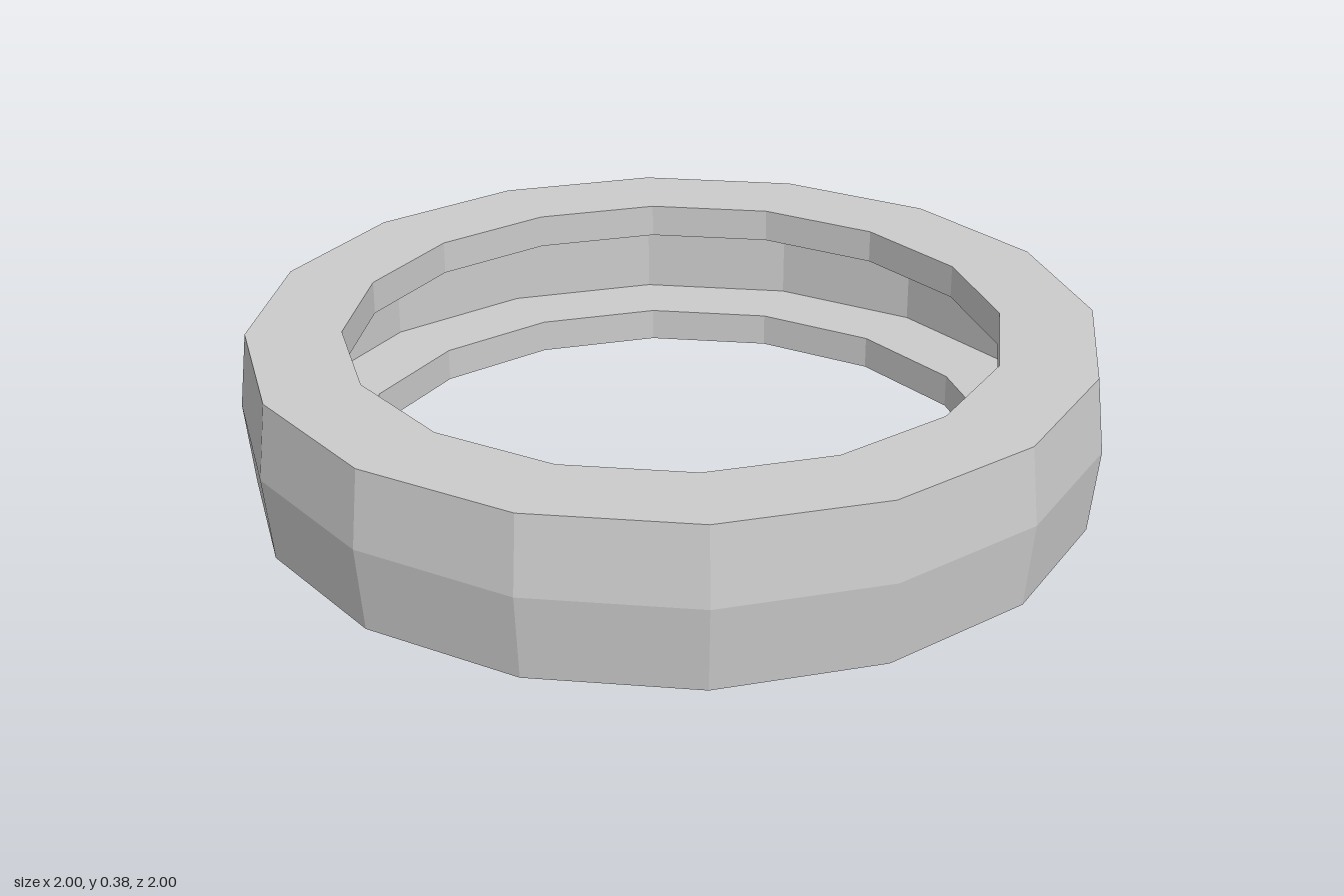
import * as THREE from 'three';

const SIDES = 16;
const OUTER = 0.98, BULGE = 1.0, INNER = 0.76, GROOVE = 0.94;
const HEIGHT = 0.375, MID = 0.197, LIP = 0.08;

export function createModel() {
  const group = new THREE.Group();
  group.name = 'groovedRing';

  // Closed cross-section: bulged outer wall going up, then the grooved bore going down
  const profile = [
    [OUTER, 0], [BULGE, MID], [OUTER, HEIGHT],
    [INNER, HEIGHT], [INNER, HEIGHT - LIP],
    [GROOVE, HEIGHT - LIP], [GROOVE, LIP],
    [INNER, LIP], [INNER, 0], [OUTER, 0],
  ].map(([r, y]) => new THREE.Vector2(r, y));

  // Low-poly ring with a channel around its inside
  const ring = new THREE.Mesh(
    new THREE.LatheGeometry(profile, SIDES),
    new THREE.MeshStandardMaterial({ color: 0xcccccc, flatShading: true })
  );
  ring.name = 'ring';
  group.add(ring);
  return group;
}
